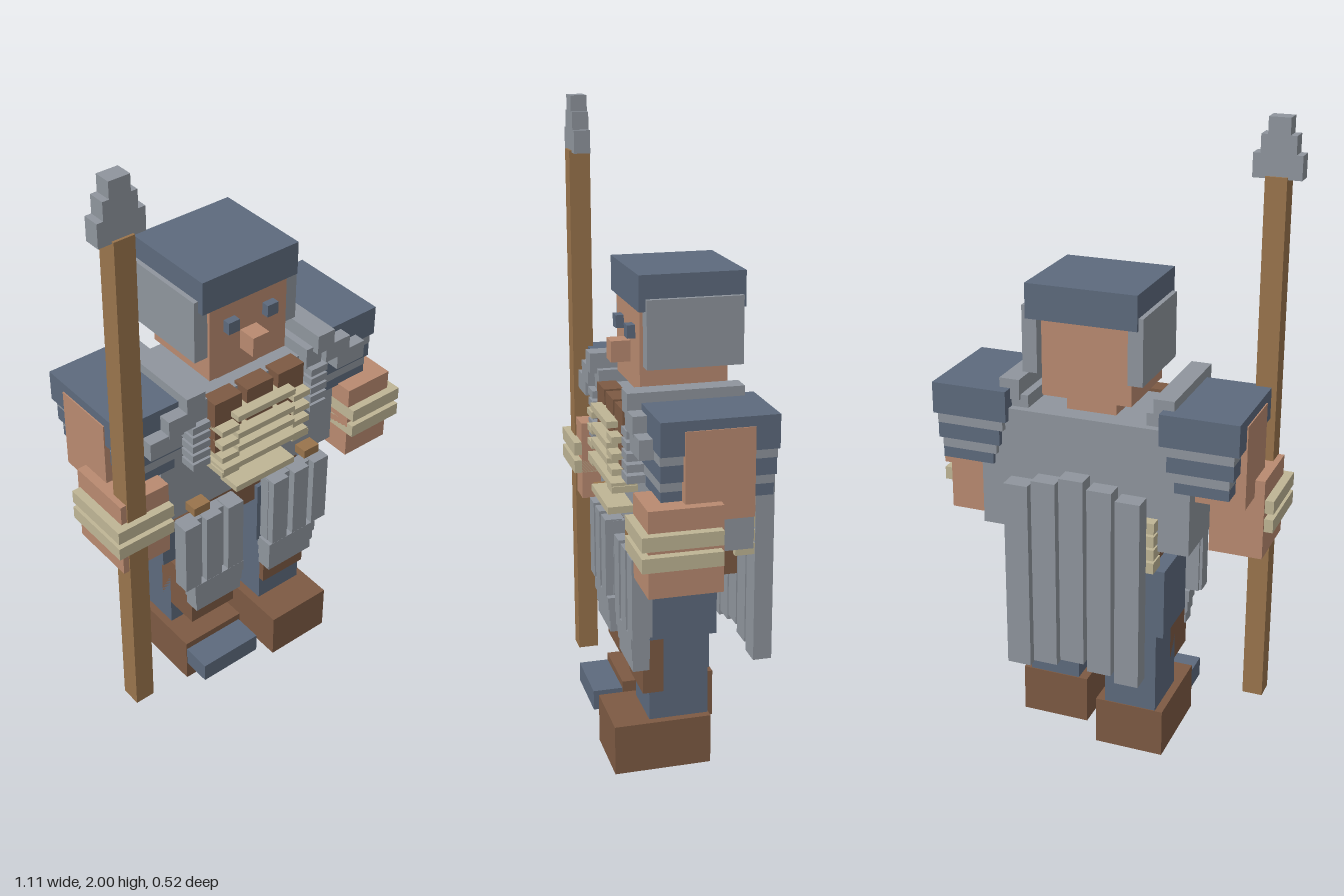
import * as THREE from 'three';

const mat = (name, color) => {
  const m = new THREE.MeshStandardMaterial({ color });
  m.name = name;
  return m;
};

export function createModel() {
  const blue = mat('slate blue', 0x5d6a7d);
  const grey = mat('steel grey', 0x8f959d);
  const skin = mat('skin', 0xb98a70);
  const brown = mat('leather brown', 0x7d5a43);
  const wood = mat('wood', 0x99744c);
  const gold = mat('pale gold', 0xbfb595);

  const model = new THREE.Group();
  model.name = 'guard';

  // Block given by its minimum and maximum on each axis
  const block = (name, m, x0, x1, y0, y1, z0, z1) => {
    const mesh = new THREE.Mesh(new THREE.BoxGeometry(x1 - x0, y1 - y0, z1 - z0), m);
    mesh.position.set((x0 + x1) / 2, (y0 + y1) / 2, (z0 + z1) / 2);
    mesh.name = name;
    model.add(mesh);
  };
  // Same block on both sides
  const pair = (name, m, x0, x1, ...rest) => {
    block(name + 'Left', m, x0, x1, ...rest);
    block(name + 'Right', m, -x1, -x0, ...rest);
  };

  // Head and helmet
  block('head', skin, -0.143, 0.143, 1.18, 1.44, -0.13, 0.14);
  block('neck', skin, -0.08, 0.08, 1.12, 1.18, -0.09, 0.09);
  block('nose', skin, -0.03, 0.03, 1.25, 1.315, 0.14, 0.2);
  pair('eye', blue, 0.052, 0.092, 1.335, 1.375, 0.13, 0.165);
  block('helmetCap', blue, -0.175, 0.175, 1.43, 1.538, -0.175, 0.15);
  pair('helmetSide', grey, 0.143, 0.19, 1.26, 1.467, -0.165, 0.13);

  // Torso
  block('torso', grey, -0.338, 0.338, 0.735, 1.13, -0.155, 0.155);
  block('hips', brown, -0.22, 0.22, 0.61, 0.74, -0.143, 0.13);
  for (const x of [-0.12, 0, 0.12]) {
    block('chestLeather', brown, x - 0.05, x + 0.05, 0.945, 1.14, 0.14, 0.2);
  }

  // Shoulder straps with stepped ends
  pair('shoulderStrap', grey, 0.215, 0.28, 1.155, 1.22, -0.14, 0.212);
  pair('strapBase', grey, 0.19, 0.25, 1.1, 1.17, -0.13, 0.19);
  pair('strapStepUpper', grey, 0.25, 0.345, 1.11, 1.17, 0.15, 0.212);
  pair('strapStepLower', grey, 0.3, 0.41, 1.06, 1.12, 0.15, 0.21);

  // Small stacked plates beside the chest
  for (let i = 0; i < 5; i++) {
    const y = 0.942 + i * 0.034;
    pair('chestPlate', grey, 0.195, 0.26, y, y + 0.024, 0.15, 0.21);
  }

  // Gold chest trim: a middle bar and two end bars per row
  for (const [side, mid, half] of [[1.04, 1.07, 0.11], [0.988, 1.005, 0.11], [0.94, 0.956, 0.11], [0.885, 0.895, 0.165]]) {
    block('trimMiddle', gold, -half, half, mid, mid + 0.02, 0.15, 0.235);
    pair('trimEnd', gold, 0.105, 0.17, side, side + 0.02, 0.15, 0.234);
  }
  block('trimBottom', gold, -0.115, 0.115, 0.8, 0.822, 0.15, 0.235);

  // Belt buckles and back trim
  pair('beltBuckle', wood, 0.19, 0.25, 0.75, 0.78, 0.15, 0.2);
  for (let i = 0; i < 4; i++) {
    const y = 0.675 + i * 0.044;
    pair('backTrim', gold, 0.07, 0.24, y, y + 0.036, -0.192, -0.13);
  }

  // Layered sleeves, narrowing downwards
  const layers = [
    [blue, 1.09, 1.19, 0.49], [grey, 1.06, 1.09, 0.475], [blue, 1.01, 1.06, 0.475],
    [grey, 0.98, 1.01, 0.462], [blue, 0.945, 0.98, 0.462],
  ];
  layers.forEach(([m, y0, y1, x1], i) =>
    pair('sleeveLayer', m, 0.245 + i * 0.012, x1, y0, y1, -0.178 + i * 0.002, 0.17 - i * 0.002));

  // Arms and bracelets
  pair('upperArm', skin, 0.335, 0.494, 0.895, 1.16, -0.105, 0.1);
  pair('forearm', skin, 0.355, 0.525, 0.69, 0.95, -0.005, 0.215);
  pair('braceletUpper', gold, 0.355, 0.553, 0.842, 0.885, 0.003, 0.24);
  pair('braceletLower', gold, 0.355, 0.553, 0.78, 0.823, 0.003, 0.24);

  // Tassets over the thighs
  for (const x of [0.05, 0.135, 0.217]) {
    pair('tasset', grey, x + 0.012, x + 0.072, 0.457, 0.715, 0.15, 0.205);
  }
  pair('tassetBacking', grey, 0.06, 0.28, 0.457, 0.71, 0.14, 0.18);
  for (let i = 0; i < 3; i++) {
    pair('tassetHem', grey, 0.055 + i * 0.003, 0.25 - i * 0.005, 0.41 - i * 0.04, 0.45 - i * 0.04, 0.14, 0.2 - i * 0.004);
  }

  // Legs in a slight stride: left leg forward, right leg back
  for (const [side, sx, dz] of [['left', 1, 0.045], ['right', -1, -0.05]]) {
    const leg = (part, m, x0, x1, ...rest) =>
      block(side + part, m, Math.min(sx * x0, sx * x1), Math.max(sx * x0, sx * x1), ...rest);
    leg('Thigh', blue, 0.045, 0.265, 0.44, 0.67, -0.11 + dz, 0.1 + dz);
    leg('Shin', blue, 0.065, 0.235, 0.15, 0.45, -0.092 + dz, 0.095 + dz);
    leg('KneeLeather', brown, 0.065, 0.235, 0.25, 0.44, 0.05 + dz, 0.16);
    leg('Boot', brown, 0.035, 0.26, 0, 0.16, -0.095 + dz, 0.21 + dz);
  }
  block('toeGuard', blue, -0.258, -0.04, 0.07, 0.136, 0.15, 0.256);

  // Cape strips, the middle one highest
  for (let i = -2; i <= 2; i++) {
    const lift = (2 - Math.abs(i)) * 0.022;
    block('capeStrip', grey, i * 0.09 - 0.039, i * 0.09 + 0.039, 0.31 + lift, 0.93 + lift, -0.26, -0.2);
  }

  // Spear
  block('spearShaft', wood, -0.506, -0.44, 0.105, 1.83, 0.153, 0.22);
  block('spearHeadBase', grey, -0.548, -0.4, 1.823, 1.895, 0.16, 0.212);
  block('spearHeadMiddle', grey, -0.528, -0.422, 1.895, 1.95, 0.16, 0.212);
  block('spearHeadTip', grey, -0.508, -0.442, 1.95, 2, 0.16, 0.212);

  return model;
}
